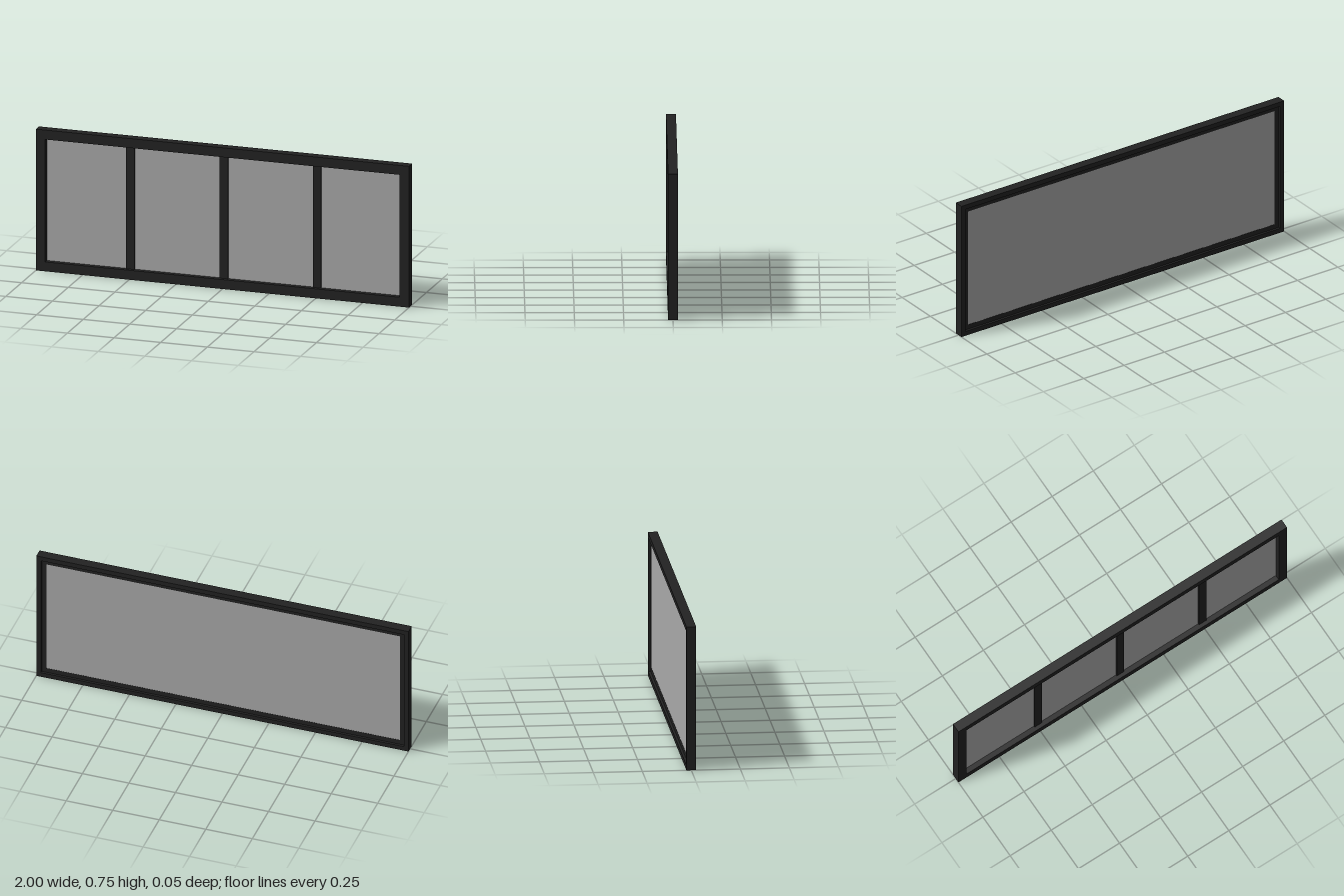
import * as THREE from 'three';

const W = 2, H = 0.75;
const frameMat = new THREE.MeshStandardMaterial({ color: 0x222222 });
const glassMat = new THREE.MeshStandardMaterial({ color: 0xaaaaaa });

// Rectangular ring of a given border width, spanning z0 to z1
function ring(name, border, z0, z1) {
  const rect = (target, inset) => {
    const x = W / 2 - inset;
    target.moveTo(-x, inset);
    target.lineTo(x, inset);
    target.lineTo(x, H - inset);
    target.lineTo(-x, H - inset);
    target.closePath();
    return target;
  };
  const shape = rect(new THREE.Shape(), 0);
  shape.holes.push(rect(new THREE.Path(), border));
  const geometry = new THREE.ExtrudeGeometry(shape, { depth: z1 - z0, bevelEnabled: false });
  geometry.translate(0, 0, z0);
  const mesh = new THREE.Mesh(geometry, frameMat);
  mesh.name = name;
  return mesh;
}

// Upright slab centred on x, spanning z0 to z1
function slab(name, material, x, width, height, z0, z1) {
  const mesh = new THREE.Mesh(new THREE.BoxGeometry(width, height, z1 - z0), material);
  mesh.position.set(x, H / 2, (z0 + z1) / 2);
  mesh.name = name;
  return mesh;
}

export function createModel() {
  const model = new THREE.Group();
  model.name = 'windowPanel';

  // Outer frame: wide front part and a narrower rim stepping out at the back
  model.add(ring('frontFrame', 0.05, -0.012, 0.025));
  model.add(ring('backRim', 0.025, -0.025, -0.012));

  // One sheet of glass set into the frame
  model.add(slab('glass', glassMat, 0, W - 0.1, H - 0.1, -0.011, -0.002));

  // Thin vertical bars on the front of the glass
  for (const x of [-0.5, 0, 0.5]) {
    model.add(slab('glazingBar', frameMat, x, 0.045, H - 0.1, -0.002, 0.005));
  }
  return model;
}
